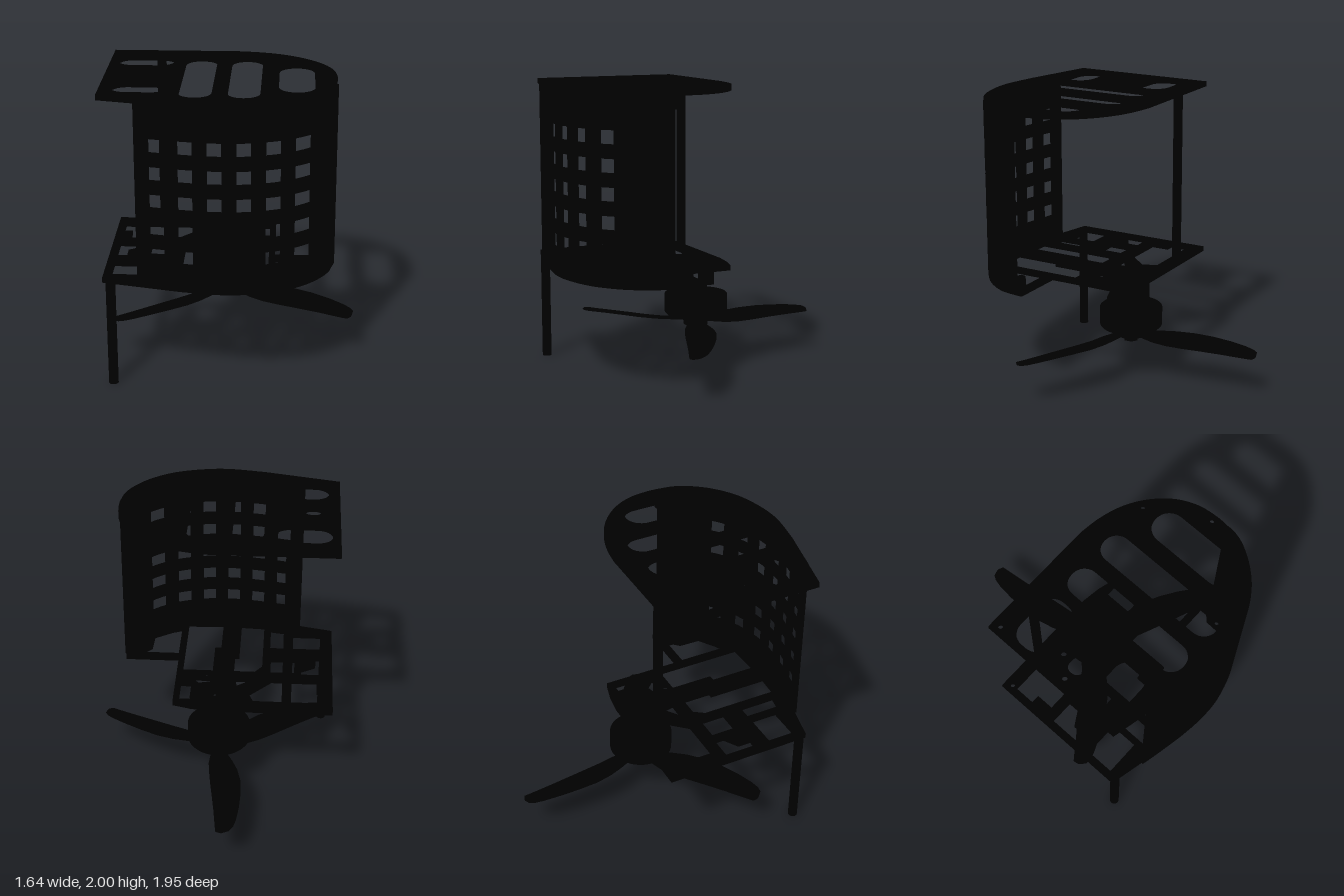
import * as THREE from 'three';

const mat = new THREE.MeshStandardMaterial({ color: 0x000000 });
const HUB = [-0.031, -0.045];

function add(parent, name, geo, x = 0, y = 0, z = 0) {
  const mesh = new THREE.Mesh(geo, mat);
  mesh.name = name;
  mesh.position.set(x, y, z);
  parent.add(mesh);
  return mesh;
}

// upright cylinder between two heights
function rod(parent, name, x, z, r, y0, y1, sides = 24) {
  return add(parent, name, new THREE.CylinderGeometry(r, r, y1 - y0, sides), x, (y0 + y1) / 2, z);
}

// plan points (x, z) to shape points, and flat extrusion upwards
const pts = (list) => list.map(([x, z]) => new THREE.Vector2(x, -z));
function slab(shape, height) {
  return new THREE.ExtrudeGeometry(shape, { depth: height, bevelEnabled: false, curveSegments: 16 }).rotateX(-Math.PI / 2);
}
const poly = (list) => new THREE.Path(pts(list));
const rect = (x0, x1, z0, z1) => poly([[x0, z0], [x1, z0], [x1, z1], [x0, z1]]);
const circle = (x, z, r) => new THREE.Path().absarc(x, -z, r, 0, Math.PI * 2);

// hollow upright spacer
function tube(parent, name, x, z, y0, y1) {
  const ring = new THREE.Shape().absarc(0, 0, 0.032, 0, Math.PI * 2);
  ring.holes.push(circle(0, 0, 0.017));
  add(parent, name, slab(ring, y1 - y0), x, y0, z);
}

// rounded slot
function slot(x0, x1, z0, z1, r) {
  const list = [];
  [[x1 - r, z1 - r, 0], [x0 + r, z1 - r, 1], [x0 + r, z0 + r, 2], [x1 - r, z0 + r, 3]].forEach(([cx, cz, q]) => {
    for (let i = 0; i <= 8; i++) {
      const a = (q + i / 8) * Math.PI / 2;
      list.push([cx + r * Math.cos(a), cz + r * Math.sin(a)]);
    }
  });
  return poly(list);
}

// plate outline: straight corners, then a curved rim round to the front left corner (reversed to run anticlockwise)
const backRim = [[0.02, -0.21], [0.16, -0.19], [0.3, -0.148], [0.42, -0.083], [0.52, 0.0], [0.6, 0.1], [0.65, 0.21], [0.668, 0.31]];
const frontRim = [[0.67, 0.42], [0.643, 0.575], [0.555, 0.72], [0.44, 0.828], [0.3, 0.907], [0.1, 0.96], [-0.07, 0.968], [-0.3, 0.935]];
function outline(corners, rim) {
  return new THREE.Shape([...pts(corners), ...new THREE.SplineCurve(pts(rim)).getPoints(64), ...pts([[-0.82, 0.815]])].reverse());
}

const bosses = [[0.63, 0.43], [0.34, 0.82], [-0.06, 0.92], [-0.39, 0.87]];
const screwHoles = [...bosses, [-0.77, -0.155], [-0.5, -0.155]];

function buildPlates(g) {
  const top = outline([[-0.82, -0.21]], [...backRim, ...frontRim]);
  top.holes.push(
    ...[...screwHoles, [0.63, 0.35], [0.41, -0.035]].map(([x, z]) => circle(x, z, 0.016)), circle(0.23, 0.6, 0.014),
    slot(-0.77, -0.39, -0.08, 0.155, 0.1), slot(-0.75, -0.39, 0.535, 0.75, 0.1),
    slot(-0.32, -0.11, -0.07, 0.845, 0.1), slot(-0.015, 0.19, -0.07, 0.845, 0.1), slot(0.3, 0.53, 0.07, 0.715, 0.112),
    circle(-0.64, 0.25, 0.018), circle(-0.75, 0.36, 0.018), slot(-0.7, -0.58, 0.31, 0.42, 0.05));
  add(g, 'topPlate', slab(top, 0.035), 0, 1.965, 0);

  const low = outline([[-0.82, -0.21], [0.02, -0.21], [0.16, -0.19], [0.285, -0.155], [0.285, 0.4], [0.668, 0.4]], frontRim);
  low.holes.push(
    ...[...screwHoles, [0.525, 0.6]].map(([x, z]) => circle(x, z, 0.016)),
    // cut-outs leaving a rim and cross bars
    poly([[-0.77, -0.12], [-0.27, -0.12], [-0.23, -0.02], [-0.39, 0.155], [-0.71, 0.155], [-0.71, 0.03], [-0.77, 0.03]]),
    poly([[-0.28, 0.155], [-0.15, 0.06], [-0.13, 0.155]]),
    poly([[-0.77, 0.225], [-0.6, 0.225], [-0.6, 0.3], [-0.7, 0.36], [-0.7, 0.45], [-0.77, 0.45]]),
    rect(-0.55, -0.38, 0.24, 0.42),
    rect(-0.77, -0.52, 0.555, 0.755),
    poly([[-0.48, 0.555], [-0.37, 0.555], [-0.37, 0.82], [-0.48, 0.8]]),
    poly([[-0.32, 0.31], [-0.27, 0.24], [-0.12, 0.24], [-0.12, 0.45], [-0.15, 0.45], [-0.15, 0.87], [-0.32, 0.86]]),
    poly([[0.03, 0.24], [0.245, 0.24], [0.245, 0.865], [-0.015, 0.875], [-0.015, 0.54], [0.03, 0.54]]),
    poly([[0.29, 0.45], [0.53, 0.45], [0.53, 0.5], [0.49, 0.54], [0.485, 0.69], [0.36, 0.77], [0.29, 0.8]]),
    poly([[0.04, 0.1], [0.12, 0.08], [0.19, 0.155], [0.04, 0.155]]),
    rect(0.17, 0.245, -0.12, 0.08),
    // motor shaft and cable holes
    circle(-0.03, -0.04, 0.045),
    ...[0.2, 0.28, 0.36, 0.44].map((z) => circle(-0.015, z, 0.016)),
    circle(0.07, 0.2, 0.027), circle(0.16, 0.2, 0.027));
  add(g, 'bottomPlate', slab(low, 0.035), 0, 0.735, 0);
}

// curved guard with a grid of square windows
function buildGuard(parent) {
  const g = new THREE.Group();
  g.name = 'windowedGuard';
  parent.add(g);
  const curve = new THREE.SplineCurve([
    [-0.585, 0.885], [-0.45, 0.915], [-0.25, 0.953], [-0.07, 0.972], [0.1, 0.965], [0.3, 0.911], [0.45, 0.826],
    [0.56, 0.72], [0.643, 0.595], [0.675, 0.5], [0.678, 0.437]].map(([x, z]) => new THREE.Vector2(x, z)));
  const tAtX = (x) => {
    let a = 0, b = 0.85;
    for (let i = 0; i < 30; i++) {
      const m = (a + b) / 2;
      if (curve.getPoint(m).x < x) a = m; else b = m;
    }
    return a;
  };
  // wall section; window sides are cut straight back, the free end square to the wall
  const strip = (t0, t1, n, square = 0) => {
    const outer = [], inner = [];
    for (let i = 0; i <= n; i++) {
      const t = t0 + (t1 - t0) * i / n;
      const p = curve.getPoint(t), d = curve.getTangent(t);
      const k = square * Math.min(1, i / 6);
      const s = 0.018 / (k * d.y * d.y + d.x * d.x);
      outer.push([p.x, p.y]);
      inner.unshift([p.x + k * d.y * s, p.y - d.x * s]);
    }
    return new THREE.Shape(pts([...outer, ...inner]));
  };
  const yStarts = [0.93, 1.113, 1.296, 1.478, 1.66], size = 0.09;
  const bars = [[0.76, yStarts[0]], ...yStarts.map((y, i) => [y + size, yStarts[i + 1] ?? 1.975])];
  let t = 0;
  for (let i = 0; i < 6; i++) {
    const x = -0.492 + i * 0.181;
    const a = tAtX(x), b = tAtX(x + size);
    add(g, 'guardColumn', slab(strip(t, a, 6), 1.215), 0, 0.76, 0);
    const piece = strip(a, b, 4);
    bars.forEach(([y0, y1]) => add(g, 'guardBar', slab(piece, y1 - y0), 0, y0, 0));
    t = b;
  }
  add(g, 'guardSide', slab(strip(t, 1, 24, 1), 1.215), 0, 0.76, 0);
  // screw bosses at the upper and lower edge
  bosses.forEach(([x, z]) => {
    tube(g, 'guardBoss', x, z, 0.77, 0.86);
    tube(g, 'guardBoss', x, z, 1.88, 1.965);
  });
}

// motor hanging under the bottom plate
function buildMotor(parent) {
  const g = new THREE.Group();
  g.name = 'motor';
  g.position.set(HUB[0], 0, HUB[1]);
  parent.add(g);
  for (let i = 0; i < 4; i++) {
    const a = i * Math.PI / 2;
    rod(g, 'motorStandoff', 0.108 * Math.cos(a), 0.108 * Math.sin(a), 0.032, 0.58, 0.74);
  }
  add(g, 'mountArm', new THREE.BoxGeometry(0.22, 0.04, 0.062), 0, 0.6, 0);
  add(g, 'mountArm', new THREE.BoxGeometry(0.062, 0.038, 0.22), 0, 0.6, 0);
  rod(g, 'motorBase', 0, 0, 0.053, 0.5, 0.59);
  const wall = [[0.19, 0.39], [0.205, 0.385], [0.218, 0.4], [0.218, 0.525], [0.213, 0.53], [0.19, 0.53], [0.19, 0.39]];
  add(g, 'motorBell', new THREE.LatheGeometry(wall.map(([r, y]) => new THREE.Vector2(r, y)), 48));
  const cap = new THREE.Shape().absarc(0, 0, 0.2, 0, Math.PI * 2);
  for (let i = 0; i < 8; i++) {
    const a = i * Math.PI / 4;
    cap.holes.push(circle(0.135 * Math.cos(a), 0.135 * Math.sin(a), 0.036));
  }
  add(g, 'bellCap', slab(cap, 0.025), 0, 0.388, 0);
  rod(g, 'statorCore', 0, 0, 0.09, 0.42, 0.515);
  for (let i = 0; i < 12; i++) {
    const a = i * Math.PI / 6;
    const coil = add(g, 'statorCoil', new THREE.BoxGeometry(0.09, 0.085, 0.045), 0.135 * Math.cos(a), 0.468, 0.135 * Math.sin(a));
    coil.rotation.y = -a;
  }
}

// one blade pointing to -z, lofted from tilted ovals: [radius, left, right, height, rise]
function bladeGeometry() {
  const rows = [[0.03, -0.04, 0.04, 0.335, 0.003], [0.1, -0.055, 0.05, 0.333, 0.006], [0.2, -0.105, 0.06, 0.327, 0.015],
    [0.3, -0.145, 0.05, 0.322, 0.021], [0.42, -0.173, 0.035, 0.321, 0.022], [0.56, -0.181, 0.015, 0.321, 0.021],
    [0.7, -0.176, -0.004, 0.318, 0.018], [0.82, -0.162, -0.018, 0.313, 0.014], [0.88, -0.147, -0.025, 0.31, 0.011],
    [0.915, -0.125, -0.03, 0.308, 0.008], [0.927, -0.085, -0.06, 0.307, 0.003]];
  const n = 16, pos = [], idx = [];
  rows.forEach(([r, left, right, y, rise], k) => {
    const thick = Math.min(0.013, rise + 0.006);
    for (let i = 0; i < n; i++) {
      const a = i / n * Math.PI * 2, c = Math.cos(a);
      pos.push((left + right) / 2 + c * (right - left) / 2, y + thick * Math.sin(a) - rise * c, -r);
      if (k) {
        const p = (k - 1) * n + i, q = (k - 1) * n + (i + 1) % n;
        idx.push(p, p + n, q, q, p + n, q + n);
      }
    }
  });
  // close root and tip
  const last = (rows.length - 1) * n;
  for (let i = 1; i < n - 1; i++) idx.push(0, i, i + 1, last, last + i + 1, last + i);
  const geo = new THREE.BufferGeometry();
  geo.setAttribute('position', new THREE.Float32BufferAttribute(pos, 3));
  geo.setIndex(idx);
  geo.computeVertexNormals();
  return geo;
}

function buildPropeller(parent) {
  const g = new THREE.Group();
  g.name = 'propeller';
  g.position.set(HUB[0], 0, HUB[1]);
  parent.add(g);
  rod(g, 'propellerHub', 0, 0, 0.084, 0.308, 0.36, 32);
  rod(g, 'propellerNut', 0, 0, 0.053, 0.278, 0.31, 6);
  rod(g, 'propellerCollar', 0, 0, 0.055, 0.358, 0.395);
  const blade = bladeGeometry();
  for (let i = 0; i < 3; i++) add(g, 'propellerBlade', blade).rotation.y = i * Math.PI * 2 / 3;
}

export function createModel() {
  const g = new THREE.Group();
  g.name = 'propellerFrame';
  buildPlates(g);
  buildGuard(g);
  buildMotor(g);
  buildPropeller(g);
  rod(g, 'supportLeg', -0.77, 0.797, 0.032, 0, 0.74);
  tube(g, 'platePost', -0.5, -0.152, 0.77, 1.965);
  return g;
}
